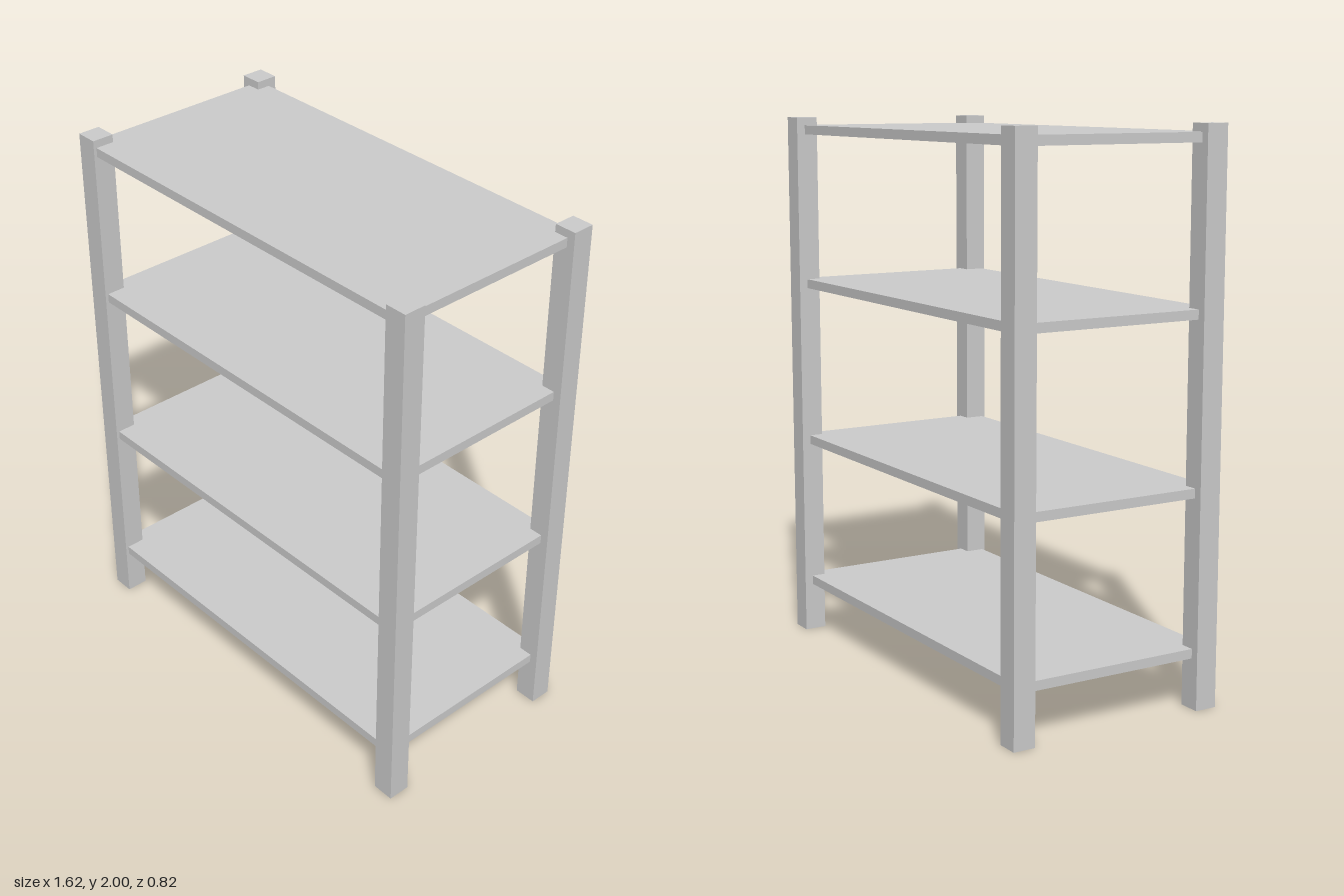
import * as THREE from 'three';

const material = new THREE.MeshStandardMaterial({ color: 0xcccccc, flatShading: true });

export function createModel() {
  const group = new THREE.Group();
  group.name = 'shelvingUnit';

  const addBox = (name, size, position) => {
    const mesh = new THREE.Mesh(new THREE.BoxGeometry(...size), material);
    mesh.name = name;
    mesh.position.set(...position);
    group.add(mesh);
  };

  // Four square corner posts
  const post = 0.082;
  for (const [side, sx] of [['Left', 1], ['Right', -1]]) {
    for (const [end, sz] of [['front', 1], ['back', -1]]) {
      addBox(`${end}${side}Post`, [post, 2, post], [sx * 0.771, 1, sz * 0.37]);
    }
  }

  // Four flat shelves let into the posts, set slightly towards the front
  [0.198, 0.762, 1.371, 1.954].forEach((y, i) => {
    addBox(`shelf${i + 1}`, [1.564, 0.034, 0.779], [0, y, 0.01]);
  });

  return group;
}
